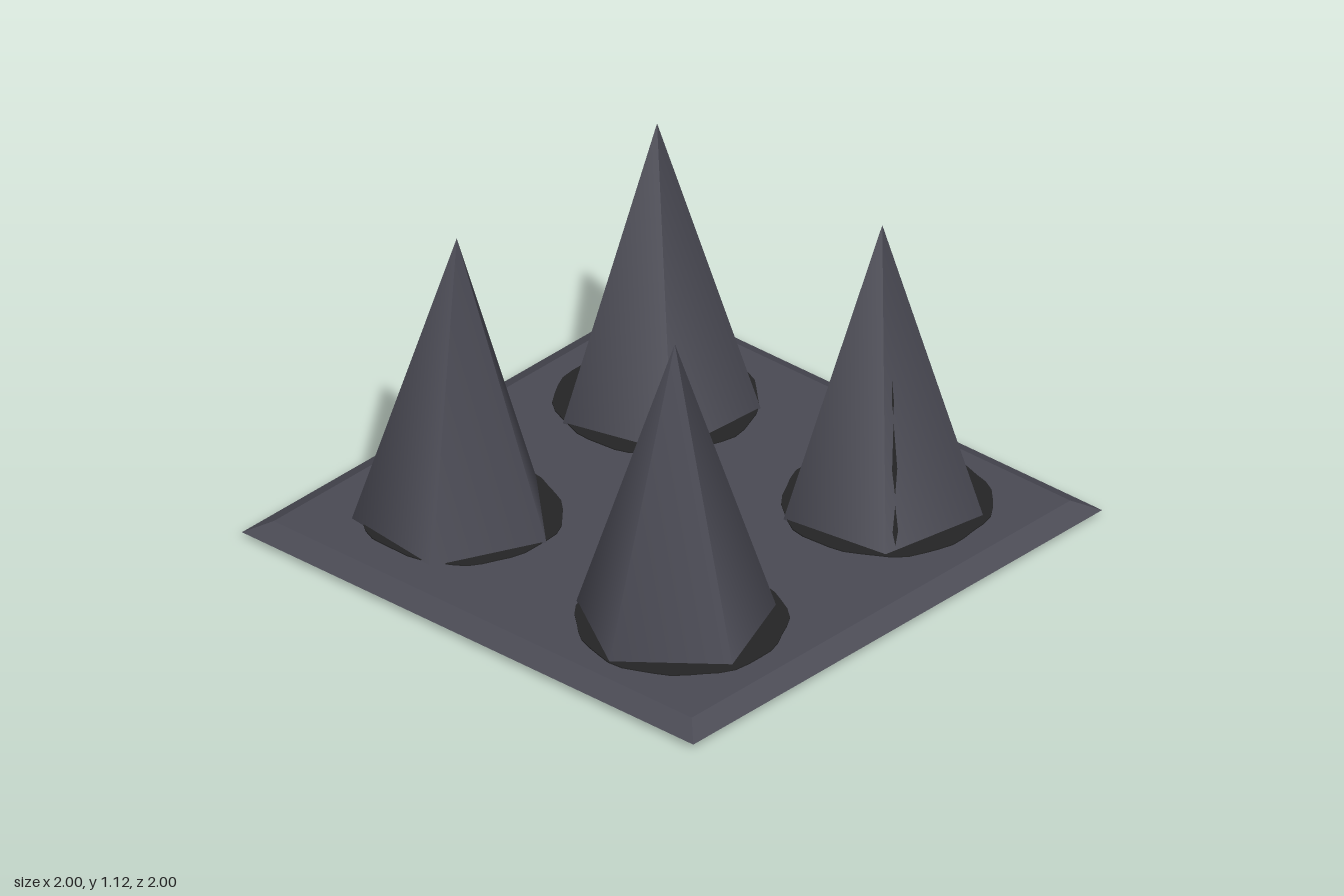
import * as THREE from 'three';

const HEIGHT = 1.12, RADIUS = 0.365, TOP = 0.06;

// Uneven dark patch around the foot of a spike
function patchGeometry(radius, seed) {
  const shape = new THREE.Shape();
  const n = 40;
  for (let i = 0; i < n; i++) {
    const a = (i / n) * Math.PI * 2;
    const r = radius * (0.98 + 0.014 * Math.sin(5 * a + seed) + 0.012 * Math.sin(11 * a + seed * 2.3));
    if (i === 0) shape.moveTo(r, 0);
    else shape.lineTo(Math.cos(a) * r, Math.sin(a) * r);
  }
  const g = new THREE.ExtrudeGeometry(shape, { depth: 0.008, bevelEnabled: false });
  g.rotateX(-Math.PI / 2);
  return g;
}

// Slim diamond lying on one spike face, next to the corner at angle theta
function chipGeometry(theta, y0, y1, width) {
  const at = (f, y) => {
    const r = RADIUS * (1 - y / HEIGHT) + 0.004;
    const corner = (a) => new THREE.Vector3(Math.sin(a) * r, y, Math.cos(a) * r);
    return corner(theta).lerp(corner(theta + Math.PI * 0.4), f);
  };
  const f = (y) => 0.09 + 0.13 * y;
  const ym = y0 + (y1 - y0) * 0.35;
  const a = at(f(y0), y0), b = at(f(ym) + width, ym), c = at(f(y1), y1), d = at(f(ym) - width, ym);
  const g = new THREE.BufferGeometry().setFromPoints([a, b, c, a, c, d]);
  g.computeVertexNormals();
  return g;
}

export function createModel() {
  const group = new THREE.Group();
  const metal = new THREE.MeshStandardMaterial({ color: 0x4a4a54, side: THREE.DoubleSide });
  metal.name = 'dark grey metal';
  const plateMetal = metal.clone();
  plateMetal.flatShading = true;
  plateMetal.name = 'dark grey plate';
  const black = new THREE.MeshStandardMaterial({ color: 0x242425, side: THREE.DoubleSide });
  black.name = 'black patch';

  const add = (parent, name, geometry, material, x = 0, y = 0, z = 0) => {
    const mesh = new THREE.Mesh(geometry, material);
    mesh.name = name;
    mesh.position.set(x, y, z);
    parent.add(mesh);
    return mesh;
  };

  // Base plate: flat top with a sloping skirt, open underneath
  const inner = 0.926;
  const skirt = new THREE.CylinderGeometry(inner * Math.SQRT2, Math.SQRT2, 0.04, 4, 1, true);
  skirt.rotateY(Math.PI / 4);
  add(group, 'plateSkirt', skirt, plateMetal, 0, 0.04, 0);
  const top = new THREE.PlaneGeometry(inner * 2, inner * 2).rotateX(-Math.PI / 2);
  add(group, 'plateTop', top, plateMetal, 0, TOP, 0);

  // Four hollow five-sided spikes, each turned differently
  const spikes = [
    { x: -0.49, z: -0.51, turn: 2.70, patch: [-0.47, -0.505, 0.34] },
    { x: 0.49, z: -0.51, turn: 3.08, patch: [0.485, -0.505, 0.345], chip: 0.567 },
    { x: -0.505, z: 0.47, turn: -1.51, patch: [-0.495, 0.49, 0.358] },
    { x: 0.51, z: 0.47, turn: 2.967, patch: [0.515, 0.485, 0.355], chip: -0.803 },
  ];
  spikes.forEach((s, i) => {
    const cone = new THREE.CylinderGeometry(0, RADIUS, HEIGHT, 5, 1, true, s.turn);
    add(group, 'spike', cone, metal, s.x, HEIGHT / 2, s.z);
    const [px, pz, pr] = s.patch;
    add(group, 'spikePatch', patchGeometry(pr, i * 1.7 + 1), black, px, TOP - 0.004, pz);
    if (s.chip !== undefined) {
      for (const [y0, y1, w] of [[0.08, 0.21, 0.03], [0.24, 0.48, 0.035], [0.5, 0.62, 0.02]]) {
        add(group, 'spikeChip', chipGeometry(s.chip, y0, y1, w), black, s.x, 0, s.z);
      }
    }
  });
  return group;
}
